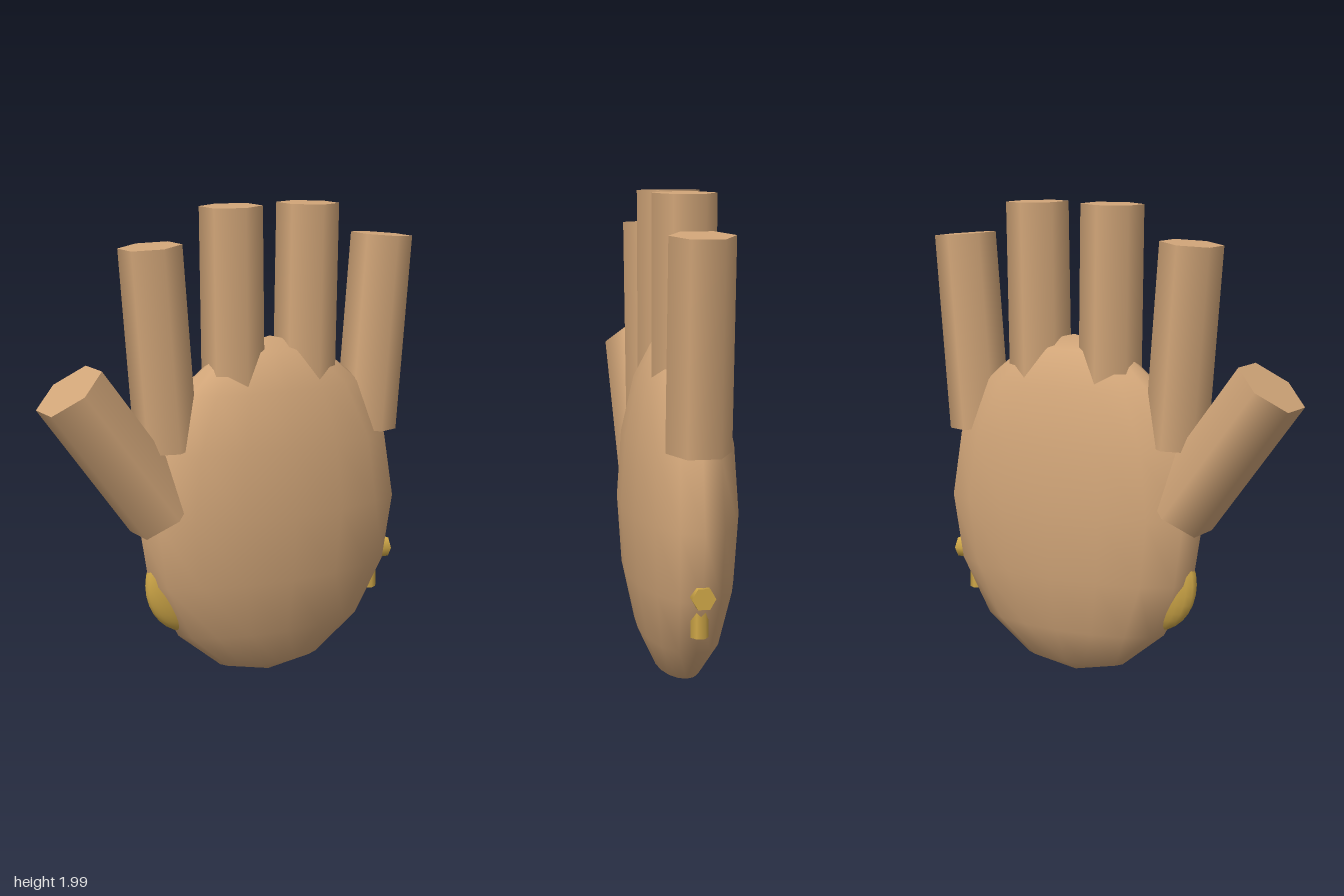
import * as THREE from 'three';

export function createModel() {
  const hand = new THREE.Group();
  hand.name = 'hand';
  const skin = new THREE.MeshStandardMaterial({ color: 0xd2a679 });
  skin.name = 'skin';
  const gold = new THREE.MeshStandardMaterial({ color: 0xd0a848 });
  gold.name = 'gold';

  function add(name, geometry, material, x, y, z = 0) {
    const mesh = new THREE.Mesh(geometry, material);
    mesh.name = name;
    mesh.position.set(x, y, z);
    hand.add(mesh);
    return mesh;
  }

  // Six-sided rod given by the centre of its free end, its tilt and its length
  function rod(name, material, tipX, tipY, tilt, radius, length) {
    const x = tipX + Math.sin(tilt) * length / 2;
    const y = tipY - Math.cos(tilt) * length / 2;
    add(name, new THREE.CylinderGeometry(radius, radius, length, 6), material, x, y).rotation.z = tilt;
  }

  // Palm: flattened ball
  add('palm', new THREE.SphereGeometry(1, 16, 8), skin, 0.18, 0.73).scale.set(0.61, 0.725, 0.227);

  // Fingers and thumb
  rod('indexFinger', skin, -0.368, 1.852, 0.08, 0.13, 0.83);
  rod('middleFinger', skin, -0.003, 1.998, 0.015, 0.13, 0.83);
  rod('ringFinger', skin, 0.358, 1.998, -0.015, 0.13, 0.83);
  rod('littleFinger', skin, 0.723, 1.852, -0.08, 0.13, 0.83);
  rod('thumb', skin, -0.728, 1.3, 0.64, 0.157, 0.68);

  // Gold disc in the heel of the hand, below the thumb
  add('goldDisc', new THREE.SphereGeometry(1, 24, 16), gold, -0.19, 0.45).scale.set(0.212, 0.22, 0.07);

  // Gold studs on the outer edge
  rod('sideStud', gold, 0.77, 0.477, -Math.PI / 2, 0.047, 0.1);
  rod('lowerStud', gold, 0.68, 0.42, 0, 0.035, 0.115);

  return hand;
}
